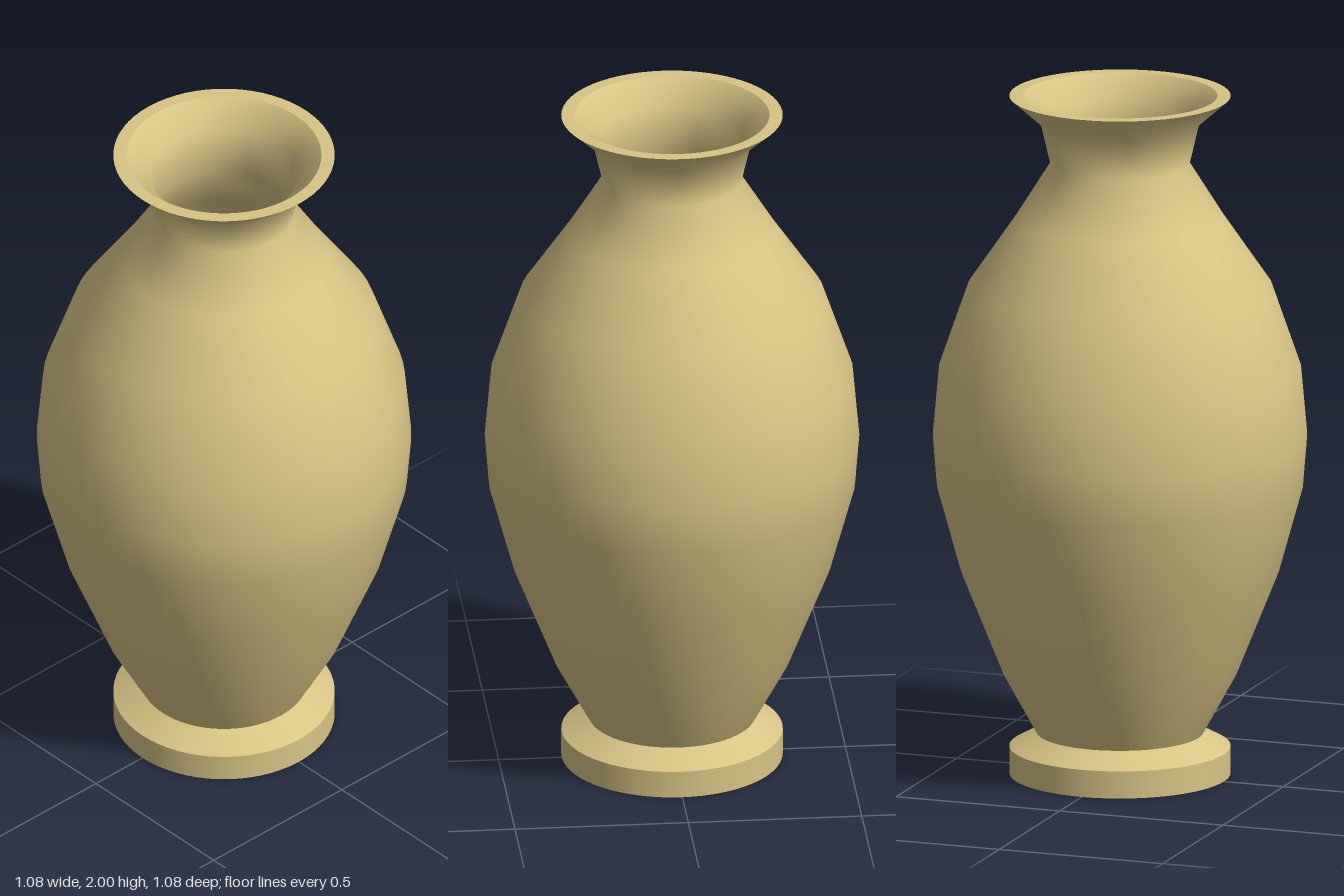
import * as THREE from 'three';

const SEGMENTS = 64;

export function createModel() {
  const vase = new THREE.Group();
  vase.name = 'vase';

  const clay = new THREE.MeshStandardMaterial({ color: 0xd8c484 });
  clay.name = 'sand clay';

  // Revolve a profile of [radius, height] points; each part keeps its own smooth normals
  function turned(name, profile) {
    const points = profile.map(([r, y]) => new THREE.Vector2(r, y));
    const mesh = new THREE.Mesh(new THREE.LatheGeometry(points, SEGMENTS), clay);
    mesh.name = name;
    vase.add(mesh);
  }

  // Foot: flat underside, straight side and sloping top
  turned('footUnderside', [[0, 0], [0.318, 0]]);
  turned('footSide', [[0.318, 0], [0.318, 0.08]]);
  turned('footTop', [[0.318, 0.08], [0.24, 0.122]]);

  // Outer wall, from the foot through belly, shoulder and neck to the flared lip
  turned('body', [
    [0.24, 0.122], [0.337, 0.3], [0.457, 0.6], [0.526, 0.85], [0.538, 1.0],
    [0.52, 1.2], [0.437, 1.44], [0.3, 1.64], [0.2, 1.8], [0.228, 1.92], [0.318, 2],
  ]);

  // Flat rim of the lip
  turned('rim', [[0.318, 2], [0.28, 2]]);

  // Inner wall, running down from the rim to a rounded floor
  turned('interior', [
    [0.28, 2], [0.212, 1.93], [0.19, 1.8], [0.28, 1.63], [0.415, 1.43],
    [0.498, 1.19], [0.516, 1.0], [0.504, 0.85], [0.436, 0.61], [0.317, 0.31],
    [0.2, 0.2], [0.1, 0.15], [0, 0.13],
  ]);

  return vase;
}
